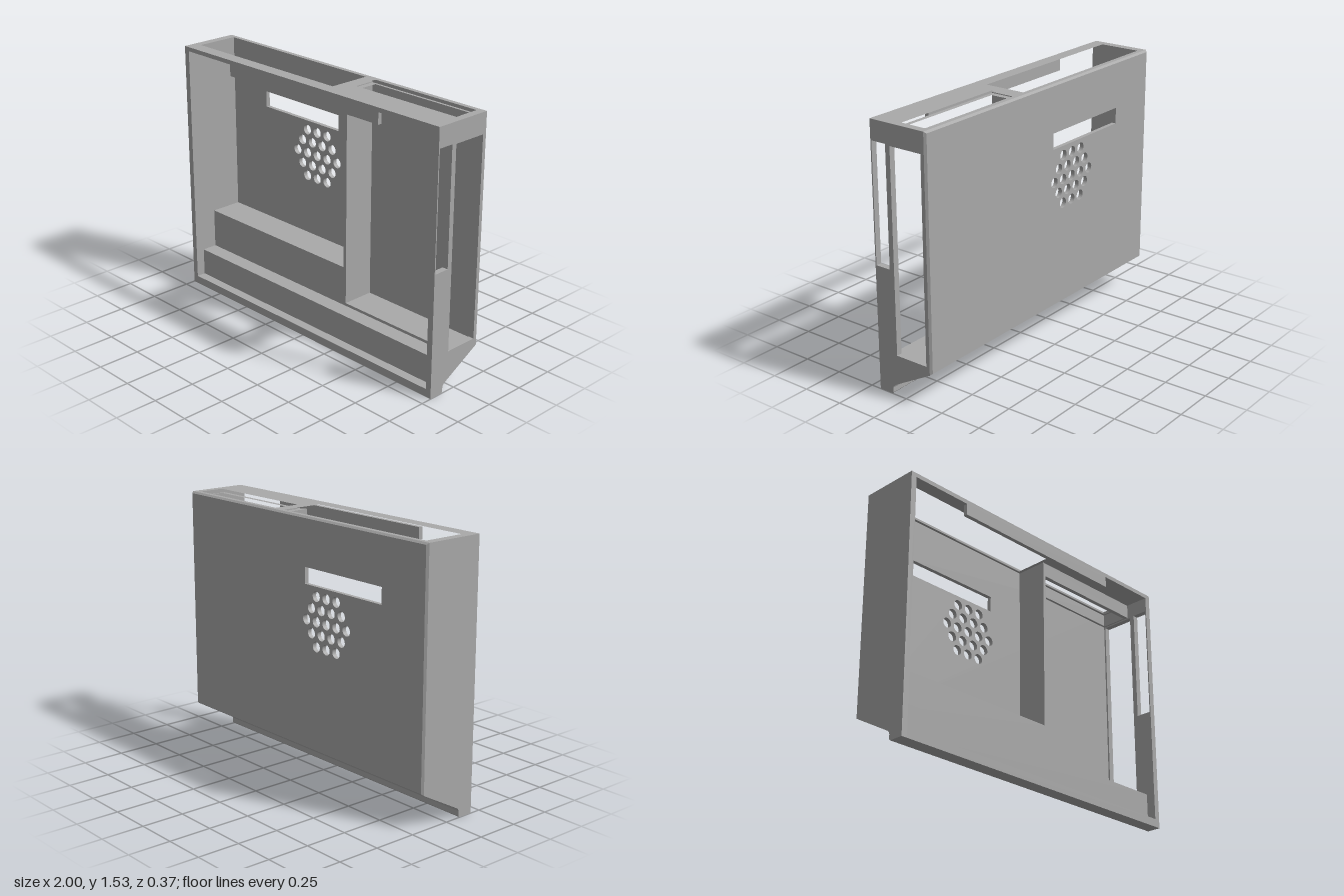
import * as THREE from 'three';

const FRONT = 0.185, BACK = -0.185, SKIN = -0.1725, PLATE = -0.16;
const TOP = 1.53, CEIL = 1.505, IN = 0.965;

const rect = (x0, y0, x1, y1) => [[x0, y0], [x1, y0], [x1, y1], [x0, y1]];
const pts = (list) => list.map(([x, y]) => new THREE.Vector2(x, y));

function makeShape(outline, holes = []) {
  const shape = new THREE.Shape(pts(outline));
  holes.forEach((h) => shape.holes.push(new THREE.Path(pts(h))));
  return shape;
}

// Extrude a [z, y] profile along x
function alongX(profile, x0, x1, holes = []) {
  const flip = (list) => list.map(([z, y]) => [-z, y]);
  return new THREE.ExtrudeGeometry(makeShape(flip(profile), holes.map(flip)), { depth: x1 - x0, bevelEnabled: false })
    .rotateY(Math.PI / 2).translate(x0, 0, 0);
}

// Extrude an [x, z] plan along y
function alongY(plan, y0, y1, holes = []) {
  const flip = (list) => list.map(([x, z]) => [x, -z]);
  return new THREE.ExtrudeGeometry(makeShape(flip(plan), holes.map(flip)), { depth: y1 - y0, bevelEnabled: false })
    .rotateX(-Math.PI / 2).translate(0, y0, 0);
}

function block(x0, x1, y0, y1, z0, z1) {
  return new THREE.BoxGeometry(x1 - x0, y1 - y0, z1 - z0)
    .translate((x0 + x1) / 2, (y0 + y1) / 2, (z0 + z1) / 2);
}

export function createModel() {
  const model = new THREE.Group();
  const grey = new THREE.MeshStandardMaterial({ color: 0xa9a9a9 });
  grey.name = 'casing grey';
  const add = (name, geometry) => {
    const mesh = new THREE.Mesh(geometry, grey);
    mesh.name = name;
    model.add(mesh);
  };

  // Back plate with a display slot and a hexagonal grille
  const plate = makeShape(rect(-1, 0.195, 1, TOP), [rect(-0.675, 1.155, -0.06, 1.25)]);
  for (let row = -2; row <= 2; row++) {
    const count = 5 - Math.abs(row);
    for (let i = 0; i < count; i++) {
      const hole = new THREE.Path();
      hole.absarc(-0.237 + (i - (count - 1) / 2) * 0.0825, 0.957 + row * 0.0714, 0.03, 0, Math.PI * 2, true);
      plate.holes.push(hole);
    }
  }
  const back = new THREE.ExtrudeGeometry(plate, { depth: PLATE - BACK, steps: 2, bevelEnabled: false, curveSegments: 24 })
    .translate(0, 0, BACK);
  // Chamfer the rear outer edges
  const p = back.attributes.position;
  for (let i = 0; i < p.count; i++) {
    if (p.getZ(i) > BACK + 0.001) continue;
    if (Math.abs(p.getX(i)) > 0.999) p.setX(i, Math.sign(p.getX(i)) * 0.99);
    if (p.getY(i) > TOP - 0.001) p.setY(i, TOP - 0.01);
    if (p.getY(i) < 0.196) p.setY(i, 0.205);
  }
  back.computeVertexNormals();
  add('backPlate', back);

  // Underside: foot lip, small hollow curve, then the slope up to the back
  const underside = [[FRONT, 0], [0.1, 0], [0.092, 0.008], [0.092, 0.036], [0.088, 0.047], [0.08, 0.056], [SKIN, 0.195]];

  // Side walls; the one on the left has two openings
  const side = [...underside, [SKIN, TOP], [FRONT, TOP]];
  add('rightWall', alongX(side, -1, -IN));
  add('leftWall', alongX(side, IN, 1, [
    rect(0.085, 0.73, 0.178, 1.415),
    rect(-0.15, 0.24, 0.055, 1.41),
  ]));

  // Stepped base between the walls
  add('steppedBase', alongX([
    ...underside, [SKIN, 0.23], [0.036, 0.23], [0.036, 0.213],
    [0.13, 0.213], [0.13, 0.048], [FRONT, 0.048],
  ], -IN, IN));
  add('upperStep', block(-IN, 0.19, 0.225, 0.45, PLATE - 0.005, 0.036));

  // Divider between the two compartments
  add('divider', block(0.185, 0.205, 0.215, CEIL + 0.005, PLATE - 0.005, 0.036));

  // Top wall and the header over the narrow compartment
  const smallHole = rect(0.24, -0.145, 0.955, 0.01);
  add('topWall', alongY(rect(-IN, SKIN, IN, FRONT), CEIL, TOP, [
    rect(-0.95, -0.145, 0.165, 0.105), smallHole,
  ]));
  add('compartmentHeader', alongY(rect(0.205, PLATE, IN, 0.036), 1.418, CEIL, [smallHole]));

  // Tab hanging at the front edge
  add('frontTab', block(-0.59, 0.583, 1.437, CEIL, FRONT - 0.025, FRONT));

  return model;
}
